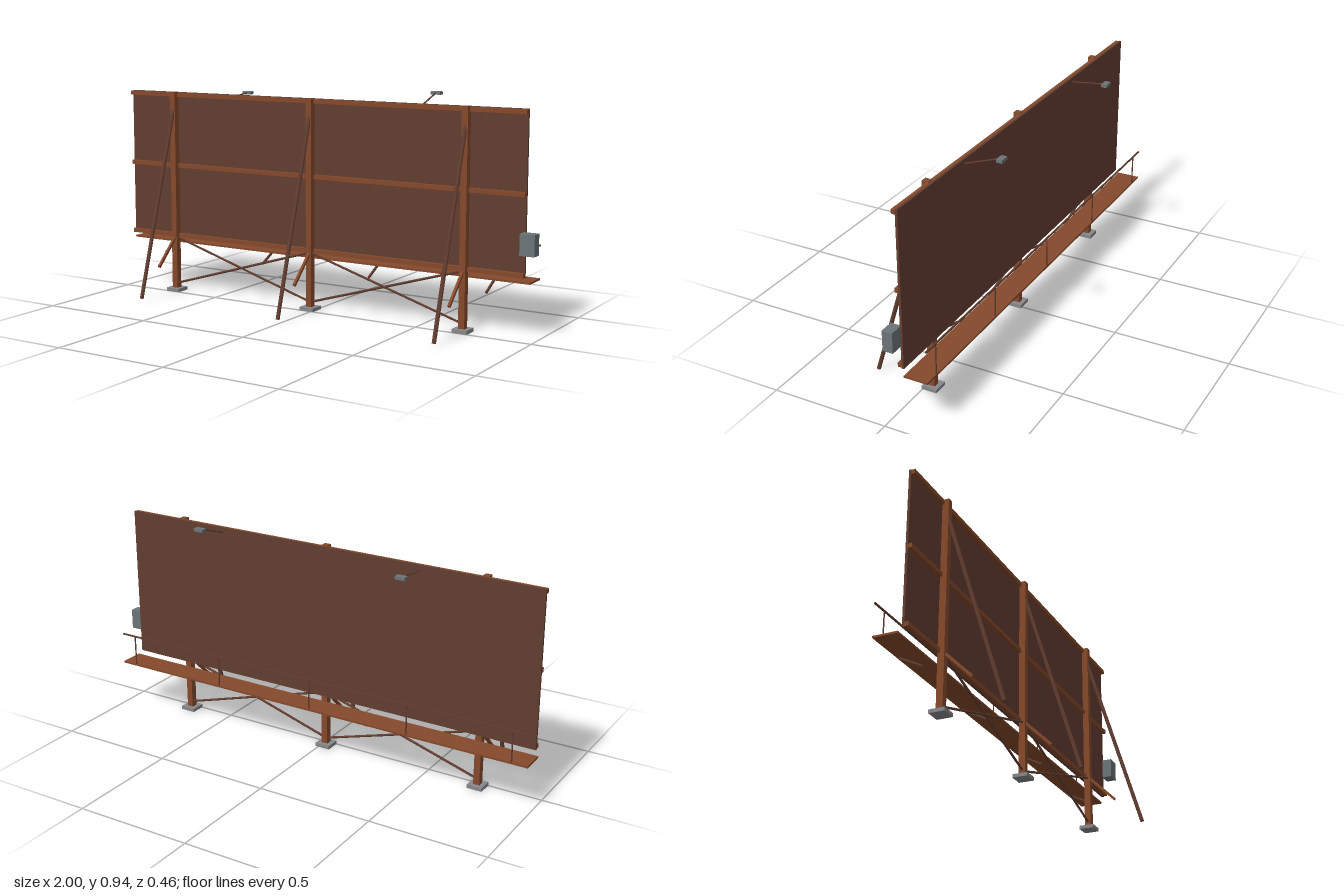
import * as THREE from 'three';

const material = (name, color) => {
  const m = new THREE.MeshStandardMaterial({ color });
  m.name = name;
  return m;
};

export function createModel() {
  const wood = material('rusty orange steel', 0x85492b);
  const dark = material('dark rusted steel', 0x623d30);
  const metal = material('blue grey metal', 0x6b7478);
  const footing = material('grey footing', 0x85878a);

  const model = new THREE.Group();
  model.name = 'billboard';

  const add = (name, geometry, mat) => {
    const mesh = new THREE.Mesh(geometry, mat);
    mesh.name = name;
    model.add(mesh);
    return mesh;
  };
  const box = (name, mat, size, pos) =>
    add(name, new THREE.BoxGeometry(...size), mat).position.set(...pos);

  // Straight member between two points: square, or round when sides is given
  const beam = (name, mat, a, b, width, sides = 0) => {
    const from = new THREE.Vector3(...a), to = new THREE.Vector3(...b);
    const dir = to.clone().sub(from), length = dir.length();
    const geometry = sides
      ? new THREE.CylinderGeometry(width / 2, width / 2, length, sides)
      : new THREE.BoxGeometry(width, length, width);
    const mesh = add(name, geometry, mat);
    mesh.position.copy(from).add(to).multiplyScalar(0.5);
    mesh.quaternion.setFromUnitVectors(new THREE.Vector3(0, 1, 0), dir.normalize());
  };

  const cx = -0.02, postZ = -0.03;
  const postX = [-0.735, cx, 0.695];

  // Sign panel and its horizontal stringers
  box('signPanel', dark, [1.93, 0.657, 0.01], [cx, 0.5715, -0.0555]);
  for (const y of [0.889, 0.572, 0.255])
    box('stringer', wood, [1.93, 0.018, 0.018], [cx, y, -0.0435]);

  // Posts with footings, long raking braces and short knee struts
  for (const x of postX) {
    box('post', wood, [0.027, 0.89, 0.028], [x, 0.457, postZ]);
    box('footing', footing, [0.066, 0.015, 0.066], [x, 0.0085, postZ]);
    beam('rakingBrace', dark, [x, 0.84, -0.028], [x, 0.01, 0.222], 0.017, 10);
    beam('kneeStrut', wood, [x, 0.255, postZ], [x, 0.13, 0.096], 0.011);
  }

  // Crossed braces between neighbouring posts
  for (let i = 0; i < 2; i++) {
    const [l, r] = [postX[i], postX[i + 1]];
    beam('crossBrace', dark, [l, 0.25, postZ], [r, 0.035, postZ], 0.01, 8);
    beam('crossBrace', dark, [l, 0.035, postZ], [r, 0.25, postZ], 0.01, 8);
  }

  // Catwalk with brackets and handrail
  box('catwalk', wood, [1.96, 0.008, 0.102], [cx, 0.221, -0.119]);
  for (let i = 0; i < 4; i++) {
    const x = cx - 0.8 + i * 0.533;
    beam('catwalkBracket', dark, [x, 0.217, -0.163], [x, 0.165, -0.063], 0.008);
  }
  for (let i = -2; i <= 2; i++) {
    const x = cx + i * 0.456;
    beam('handrailPost', dark, [x, 0.222, -0.167], [x, 0.357, -0.167], 0.006, 6);
  }
  box('handrail', dark, [1.96, 0.006, 0.006], [cx, 0.356, -0.167]);

  // Floodlights on arms, one drooping lower than the other
  for (const [x, y] of [[-0.465, 0.897], [0.472, 0.932]]) {
    beam('lightArm', dark, [x, 0.88, -0.057], [x, y, -0.207], 0.007, 6);
    box('lightHead', metal, [0.043, 0.013, 0.026], [x, y, -0.217]);
  }

  // Electrical box at the end of the panel
  box('electricalBox', metal, [0.062, 0.086, 0.044], [0.969, 0.382, postZ]);

  return model;
}
